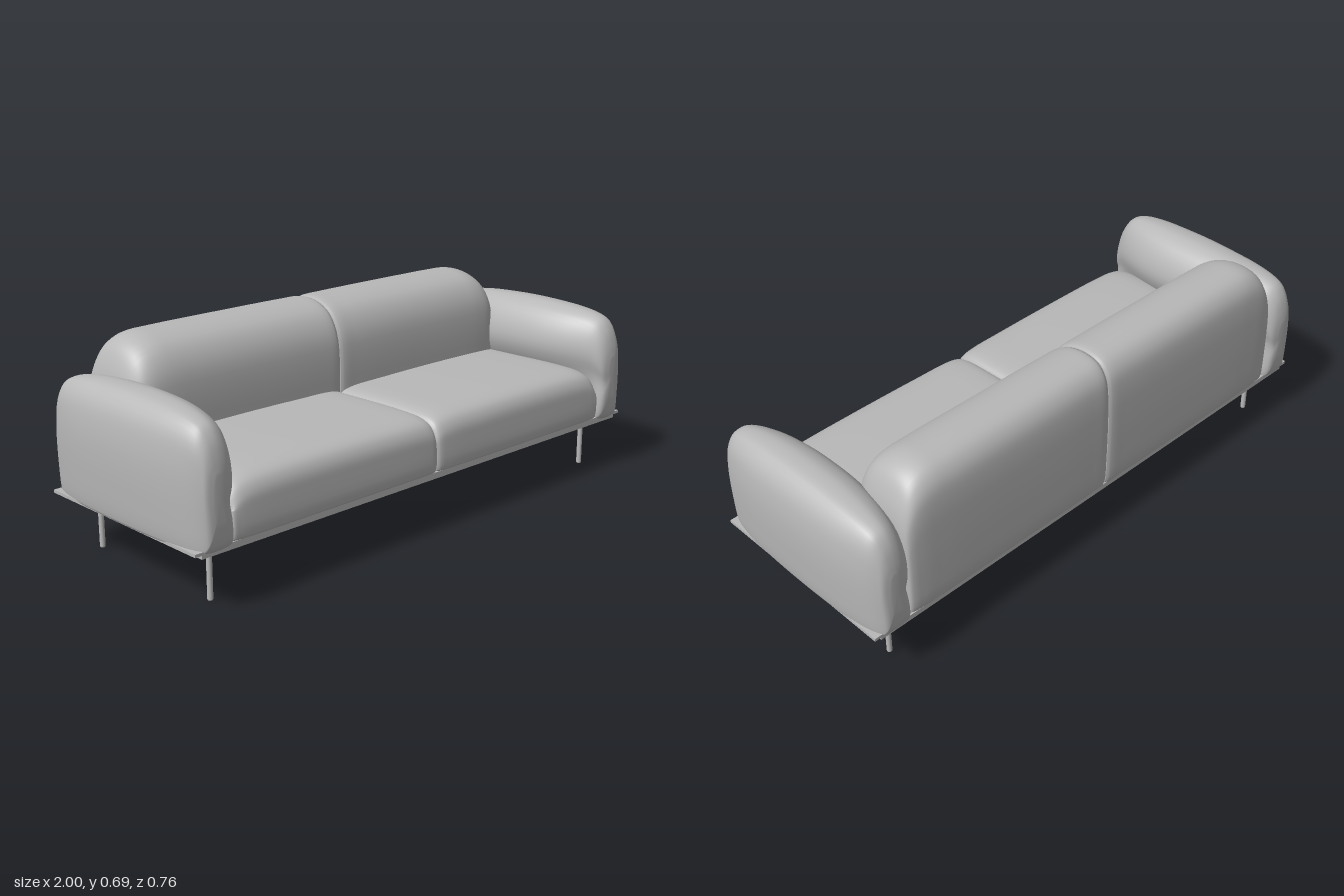
import * as THREE from 'three';

const V = (x, y, z) => new THREE.Vector3(x, y, z);

// Smooth skin through closed rings of control points, with both ends capped
function loft(rings, around = 48, steps = 4) {
  const smooth = rings.map((r) => {
    const curve = new THREE.CatmullRomCurve3(r, true, 'centripetal');
    return Array.from({ length: around }, (_, i) => curve.getPoint(i / around));
  });
  const rows = (rings.length - 1) * steps;
  const pos = [], idx = [];
  const columns = smooth[0].map((_, i) =>
    new THREE.CatmullRomCurve3(smooth.map((r) => r[i]), false, 'centripetal'));
  for (let j = 0; j <= rows; j++) {
    for (const c of columns) pos.push(...c.getPoint(j / rows).toArray());
  }
  for (let j = 0; j < rows; j++) {
    for (let i = 0; i < around; i++) {
      const a = j * around + i, b = j * around + (i + 1) % around;
      idx.push(a, b, b + around, a, b + around, a + around);
    }
  }
  for (const j of [0, rows]) {
    const mid = V(0, 0, 0), centre = pos.length / 3;
    for (let i = 0; i < around; i++) mid.add(V().fromArray(pos, (j * around + i) * 3));
    pos.push(...mid.divideScalar(around).toArray());
    for (let i = 0; i < around; i++) {
      const a = j * around + i, b = j * around + (i + 1) % around;
      if (j === 0) idx.push(centre, b, a);
      else idx.push(centre, a, b);
    }
  }
  // Turn the faces outward if the enclosed volume is negative
  let volume = 0;
  const p = (k) => V().fromArray(pos, idx[k] * 3);
  for (let k = 0; k < idx.length; k += 3) volume += p(k).dot(p(k + 1).cross(p(k + 2)));
  if (volume < 0) idx.reverse();
  const g = new THREE.BufferGeometry();
  g.setAttribute('position', new THREE.Float32BufferAttribute(pos, 3));
  g.setIndex(idx);
  g.computeVertexNormals();
  return g;
}

// Armrest: sections along z, bulging inward above the seat
function armGeometry(side) {
  // distance from the middle, inner x, outer x, top, bottom
  const half = [
    [0, 0.77, 1.0, 0.592, 0.192], [0.12, 0.774, 0.998, 0.589, 0.192],
    [0.22, 0.79, 0.992, 0.582, 0.192], [0.3, 0.815, 0.979, 0.568, 0.192],
    [0.335, 0.83, 0.969, 0.551, 0.192], [0.36, 0.843, 0.957, 0.515, 0.193],
    [0.375, 0.858, 0.945, 0.465, 0.215], [0.382, 0.885, 0.92, 0.42, 0.28],
  ];
  const rows = [...half.slice(1).reverse().map(([d, ...r]) => [-d, ...r]), ...half];
  return loft(rows.map(([z, xi, xo, top, bot]) => {
    const low = Math.max(xi, 0.848), w = xo - xi, h = top - bot;
    return [
      [low + 0.01, 0], [low, 0.03], [low, 0.25], [xi + w * 0.1, 0.45], [xi, 0.62],
      [xi + w * 0.05, 0.79], [xi + w * 0.2, 0.93], [xi + w * 0.4, 0.992], [xi + w * 0.56, 1],
      [xi + w * 0.75, 0.975], [xi + w * 0.91, 0.87], [xi + w * 0.98, 0.7], [xo, 0.5],
      [xo - w * 0.015, 0.25], [xo - w * 0.05, 0.03], [xo - w * 0.08, 0],
    ].map(([x, v]) => V(side * x, bot + h * v, z));
  }));
}

// Half of the backrest: sections along x, dropping at the outer end
function backGeometry(side) {
  // x, top, front z, back z
  const rows = [
    [0, 0.677, -0.098, -0.364], [0.015, 0.683, -0.092, -0.37], [0.08, 0.685, -0.09, -0.372],
    [0.4, 0.686, -0.09, -0.373], [0.65, 0.685, -0.09, -0.373], [0.72, 0.682, -0.092, -0.372],
    [0.765, 0.668, -0.096, -0.371], [0.795, 0.645, -0.105, -0.369], [0.82, 0.6, -0.125, -0.366],
    [0.835, 0.55, -0.15, -0.36], [0.842, 0.49, -0.19, -0.345],
  ];
  return loft(rows.map(([x, top, f, b]) => {
    const d = f - b, h = top - 0.2;
    return [
      [0.03, 0], [0, 0.03], [0, 0.3], [0, 0.6], [0.05, 0.79], [0.19, 0.92], [0.41, 0.986],
      [0.65, 1], [0.83, 0.97], [0.94, 0.89], [0.985, 0.76], [1, 0.55], [1, 0.25],
      [0.985, 0.03], [0.96, 0],
    ].map(([u, v]) => V(side * x, 0.2 + h * v, f - d * u));
  }));
}

// Half of the seat cushion: sections along x with a rounded front edge
function seatGeometry(side) {
  // x, top, front z
  const rows = [
    [0, 0.366, 0.355], [0.012, 0.378, 0.362], [0.05, 0.387, 0.365], [0.2, 0.391, 0.366],
    [0.45, 0.393, 0.366], [0.7, 0.39, 0.366], [0.78, 0.384, 0.365], [0.82, 0.371, 0.363],
    [0.84, 0.35, 0.359], [0.847, 0.32, 0.35],
  ];
  return loft(rows.map(([x, t, f]) => [
    [f - 0.008, 0.198], [f, 0.207], [f, 0.29], [f - 0.006, t - 0.055], [f - 0.026, t - 0.024],
    [f - 0.065, t - 0.007], [f - 0.15, t], [0, t], [-0.2, t - 0.006], [-0.28, t - 0.02],
    [-0.29, 0.22], [-0.28, 0.198],
  ].map(([z, y]) => V(side * x, y, z))));
}

// Base tray: a box whose lower rim is drawn in to a bevel
function trayGeometry() {
  const g = new THREE.BoxGeometry(1.91, 0.028, 0.714, 1, 2, 1);
  const p = g.attributes.position;
  for (let i = 0; i < p.count; i++) {
    if (p.getY(i) < -0.01) {
      p.setX(i, p.getX(i) - Math.sign(p.getX(i)) * 0.03);
      p.setZ(i, p.getZ(i) - Math.sign(p.getZ(i)) * 0.03);
    }
  }
  const flat = g.toNonIndexed();
  flat.computeVertexNormals();
  return flat;
}

export function createModel() {
  const sofa = new THREE.Group();
  sofa.name = 'sofa';
  const grey = new THREE.MeshStandardMaterial({ color: 0xb8b8b8 });
  grey.name = 'light grey';
  const add = (name, geometry, x = 0, y = 0, z = 0) => {
    const mesh = new THREE.Mesh(geometry, grey);
    mesh.name = name;
    mesh.position.set(x, y, z);
    sofa.add(mesh);
  };

  // Base
  add('baseTray', trayGeometry(), 0, 0.177, 0);
  add('baseBoard', new THREE.BoxGeometry(1.96, 0.01, 0.72), 0, 0.195, 0);

  // Upholstery and legs on both sides
  for (const [side, label] of [[1, 'left'], [-1, 'right']]) {
    add(label + 'Arm', armGeometry(side));
    add(label + 'Back', backGeometry(side));
    add(label + 'Seat', seatGeometry(side));
    for (const [end, place] of [[1, 'Front'], [-1, 'Back']]) {
      const x = side * 0.868, z = end * 0.275;
      add(label + place + 'Leg', new THREE.CylinderGeometry(0.009, 0.009, 0.163, 20), x, 0.0855, z);
      add(label + place + 'Foot', new THREE.CylinderGeometry(0.009, 0.007, 0.004, 20), x, 0.002, z);
      add(label + place + 'LegCollar', new THREE.CylinderGeometry(0.015, 0.015, 0.004, 20), x, 0.162, z);
    }
  }
  return sofa;
}
